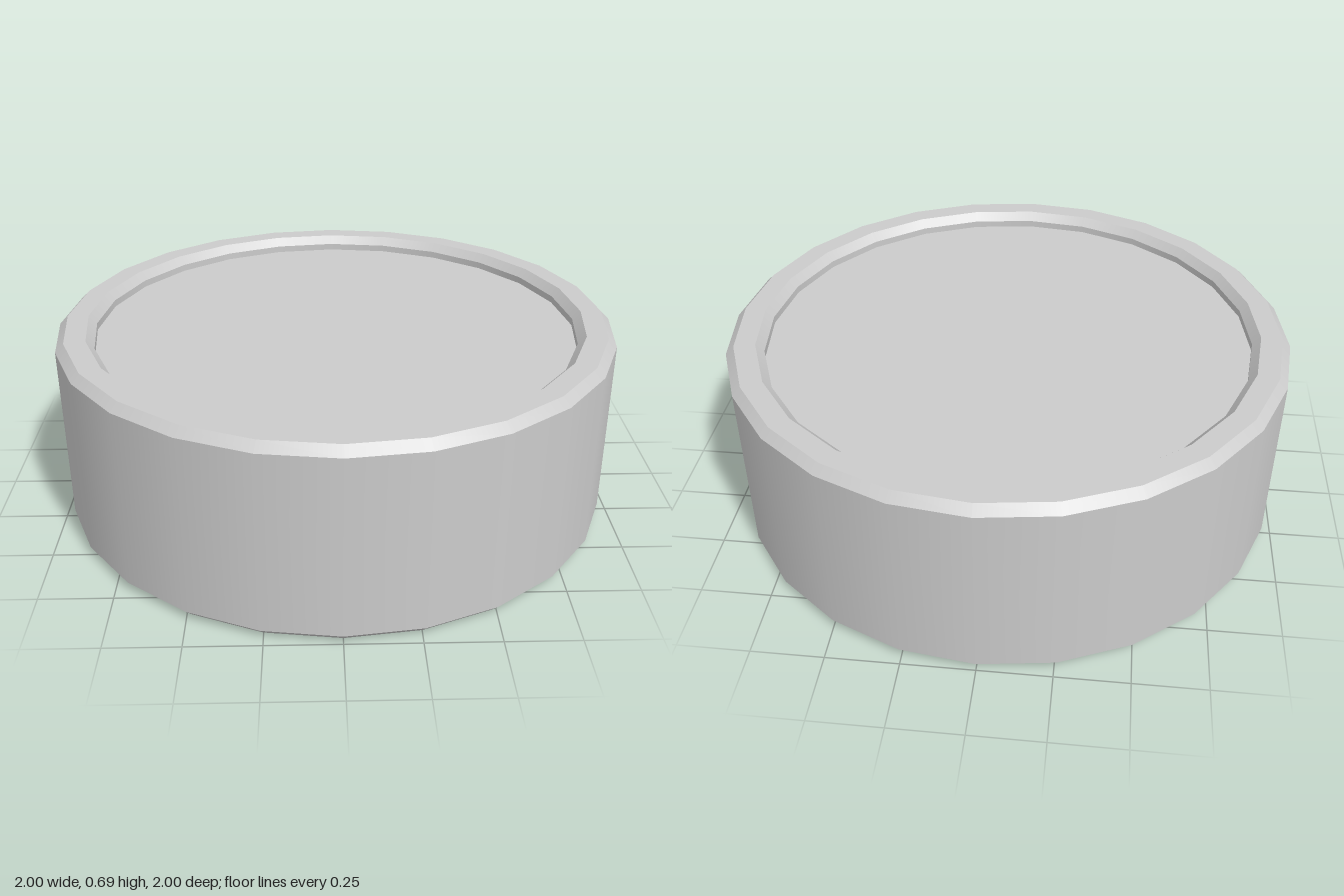
import * as THREE from 'three';

const SIDES = 24;
const HEIGHT = 0.695;
const BEVEL = 0.03;

// Half cross-section, from the underside's centre round the outside to the top's centre.
// Each step is [part name, end radius, end height].
const START = [0, 0.44];
const STEPS = [
  ['undersideCeiling', 0.8, 0.44],
  ['undersideWall', 0.8, 0],
  ['baseRing', 1 - BEVEL, 0],
  ['lowerBevel', 1, BEVEL],
  ['outerWall', 1, HEIGHT - BEVEL],
  ['upperBevel', 1 - BEVEL, HEIGHT],
  ['topRim', 0.895, HEIGHT],
  ['innerBevel', 0.867, HEIGHT - BEVEL],
  ['recessWall', 0.867, 0.64],
  ['recessFloor', 0, 0.64],
];

export function createModel() {
  const model = new THREE.Group();
  model.name = 'roundBase';
  const material = new THREE.MeshStandardMaterial({ color: 0xcccccc });

  // One lathe per band: smooth around the axis, sharp between bands.
  let from = new THREE.Vector2(...START);
  for (const [name, radius, height] of STEPS) {
    const to = new THREE.Vector2(radius, height);
    const band = new THREE.Mesh(new THREE.LatheGeometry([from, to], SIDES), material);
    band.name = name;
    model.add(band);
    from = to;
  }
  return model;
}
